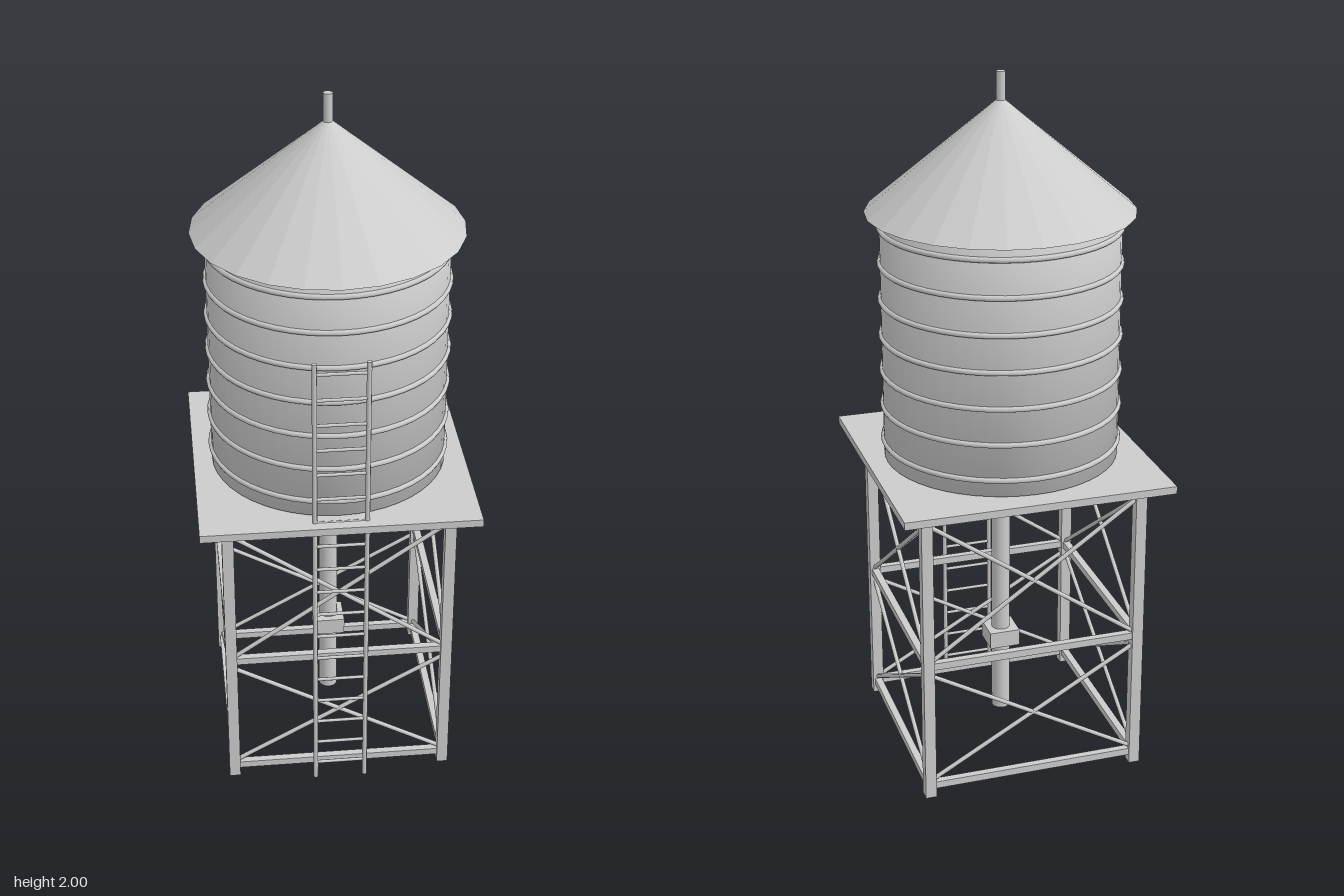
import * as THREE from 'three';

export function createModel() {
  const model = new THREE.Group();
  const grey = new THREE.MeshStandardMaterial({ color: 0xcccccc });
  grey.name = 'light grey';
  const facetedGrey = grey.clone();
  facetedGrey.flatShading = true;

  const add = (name, geometry, x = 0, y = 0, z = 0, parent = model, material = grey) => {
    const mesh = new THREE.Mesh(geometry, material);
    mesh.name = name;
    mesh.position.set(x, y, z);
    parent.add(mesh);
    return mesh;
  };
  const group = (name) => {
    const g = new THREE.Group();
    g.name = name;
    model.add(g);
    return g;
  };

  // Tank: one smooth closed shell
  const profile = [[0, 0.913], [0.333, 0.913], [0.333, 1.62], [0, 1.62]];
  add('tank', new THREE.LatheGeometry(profile.map(([r, y]) => new THREE.Vector2(r, y)), 48));

  // Hoops around the tank
  const hoops = group('hoops');
  const hoopShape = new THREE.TorusGeometry(0.333, 0.008, 8, 48).rotateX(Math.PI / 2);
  for (let i = 0; i < 7; i++) add('hoop', hoopShape, 0, 0.96 + i * 0.1035, 0, hoops);

  // Faceted conical roof and finial
  add('roof', new THREE.ConeGeometry(0.373, 0.313, 24), 0, 1.7765, 0, model, facetedGrey);
  add('finial', new THREE.CylinderGeometry(0.013, 0.013, 0.1, 16), 0, 1.95, 0);

  // Platform
  add('platform', new THREE.BoxGeometry(0.773, 0.022, 0.773), 0, 0.896, 0);

  // Legs
  const leg = 0.309;
  for (const x of [-leg, leg])
    for (const z of [-leg, leg]) add('leg', new THREE.BoxGeometry(0.032, 0.887, 0.032), x, 0.4435, z);

  // Each side frame has two rails and two crossed panels
  const railShape = new THREE.BoxGeometry(2 * leg - 0.03, 0.021, 0.021);
  for (let side = 0; side < 4; side++) {
    const frame = group('sideFrame');
    frame.rotation.y = side * Math.PI / 2;
    for (const y of [0.035, 0.42]) add('rail', railShape, 0, y, leg, frame);
    for (const [low, high] of [[0.045, 0.393], [0.425, 0.855]]) {
      const length = Math.hypot(2 * leg, high - low);
      const angle = Math.atan2(high - low, 2 * leg);
      for (const s of [-1, 1]) {
        const brace = add('brace', new THREE.CylinderGeometry(0.0065, 0.0065, length, 8).rotateZ(Math.PI / 2),
          0, (low + high) / 2, leg, frame);
        brace.rotation.z = s * angle;
      }
    }
  }

  // Central pipe with its valve box
  add('pipe', new THREE.CylinderGeometry(0.027, 0.027, 0.845, 24), 0, 0.4925, 0);
  add('valveBox', new THREE.BoxGeometry(0.09, 0.05, 0.09), 0, 0.313, 0);

  // Ladder at the front, passing through the platform
  const ladder = group('ladder');
  for (const x of [-0.072, 0.072])
    add('ladderRail', new THREE.CylinderGeometry(0.007, 0.007, 1.4, 8), x, 0.7, 0.352, ladder);
  const rungShape = new THREE.CylinderGeometry(0.005, 0.005, 0.144, 8).rotateZ(Math.PI / 2);
  for (let i = 0; i < 18; i++) add('rung', rungShape, 0, 0.055 + i * 0.0772, 0.352, ladder);

  return model;
}
